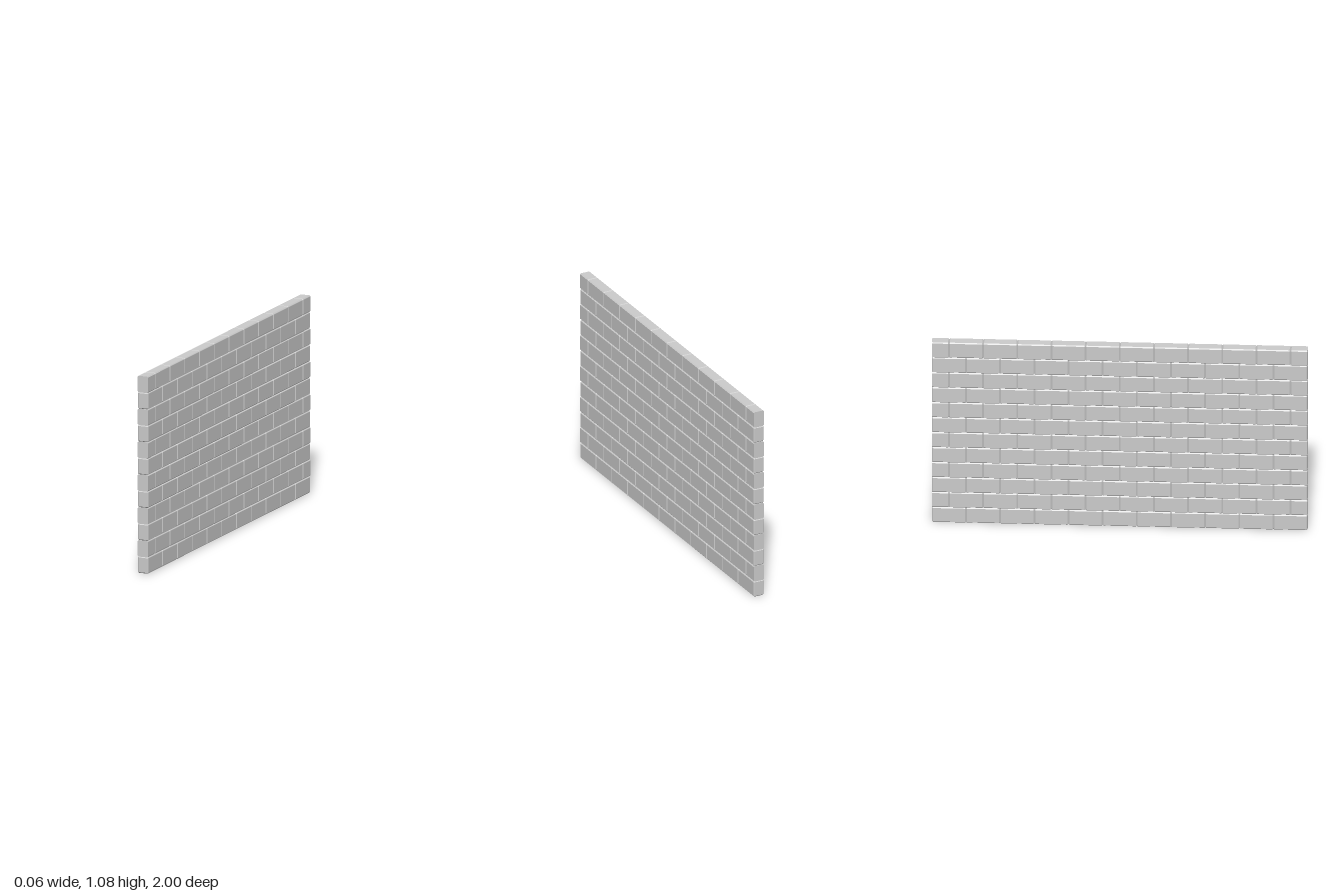
import * as THREE from 'three';
import { ConvexGeometry } from 'three/addons/geometries/ConvexGeometry.js';

const COURSES = 12, PER_COURSE = 11;
const LENGTH = 2 / PER_COURSE, HEIGHT = 0.09, DEPTH = 0.06, BEVEL = 0.005;

// Chamfered block along z; a cut block has a plain, unbevelled +z end
function brickGeometry(length, cutEnd) {
  const x = DEPTH / 2, y = HEIGHT / 2, z = length / 2, b = BEVEL;
  const points = [];
  for (const sx of [-1, 1]) for (const sy of [-1, 1]) for (const sz of [-1, 1]) {
    const add = (px, py, pz) => points.push(new THREE.Vector3(sx * px, sy * py, sz * pz));
    const inner = cutEnd && sz > 0 ? z : z - b;
    add(x, y - b, inner);
    add(x - b, y, inner);
    if (inner < z) add(x - b, y - b, z);
  }
  return new ConvexGeometry(points);
}

export function createModel() {
  const wall = new THREE.Group();
  wall.name = 'brickWall';
  const material = new THREE.MeshStandardMaterial({ color: 0xcccccc, flatShading: true });
  const fullBrick = brickGeometry(LENGTH, false);
  const halfBrick = brickGeometry(LENGTH / 2, true);

  for (let row = 0; row < COURSES; row++) {
    const course = new THREE.Group();
    course.name = `course${row + 1}`;
    course.position.y = (row + 0.5) * HEIGHT;
    wall.add(course);

    const lay = (geometry, name, z, turn = 0) => {
      const brick = new THREE.Mesh(geometry, material);
      brick.name = name;
      brick.position.z = z;
      brick.rotation.y = turn;
      course.add(brick);
    };

    // Running bond: every second course is shifted by half a brick
    const count = row % 2 ? PER_COURSE - 1 : PER_COURSE;
    for (let i = 0; i < count; i++) lay(fullBrick, 'brick', (i - (count - 1) / 2) * LENGTH);

    // Half bricks close the shifted courses, cut side outward
    if (row % 2) {
      lay(halfBrick, 'frontHalfBrick', 1 - LENGTH / 4);
      lay(halfBrick, 'backHalfBrick', -1 + LENGTH / 4, Math.PI);
    }
  }
  return wall;
}
